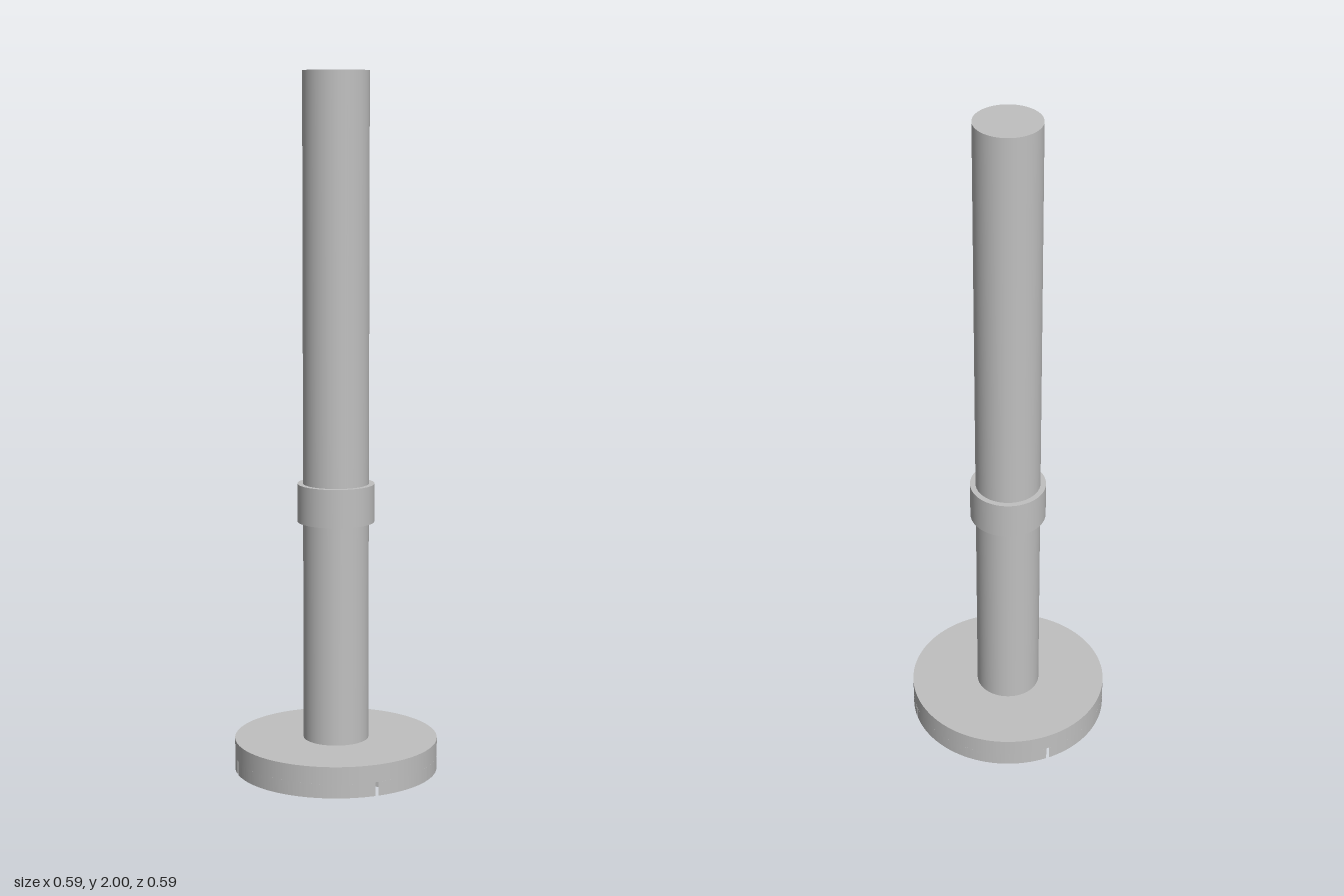
import * as THREE from 'three';
import { toCreasedNormals } from 'three/addons/utils/BufferGeometryUtils.js';

const BASE_R = 0.293, BASE_H = 0.09;
const SLOT_DEPTH = 0.04, SLOT_HALF_L = 0.2225, SLOT_HALF_W = 0.0375, SLOT_Z = 0.16;

export function createModel() {
  const group = new THREE.Group();
  const grey = new THREE.MeshStandardMaterial({ color: 0xc0c0c0 });
  grey.name = 'light grey';

  const add = (name, geometry) => {
    const mesh = new THREE.Mesh(geometry, grey);
    mesh.name = name;
    group.add(mesh);
  };
  const cylinder = (name, radius, y0, y1) =>
    add(name, new THREE.CylinderGeometry(radius, radius, y1 - y0, 96).translate(0, (y0 + y1) / 2, 0));
  // Plate lying on the ground, as thick as the slots are deep
  const plate = (name, shape) => {
    const geometry = new THREE.ExtrudeGeometry(shape, { depth: SLOT_DEPTH, bevelEnabled: false, curveSegments: 48 });
    geometry.rotateX(-Math.PI / 2);
    add(name, toCreasedNormals(geometry, 0.5));
  };

  // Post, collar and upper part of the round foot
  cylinder('post', 0.094, BASE_H, 2);
  cylinder('collar', 0.11, 0.727, 0.837);
  cylinder('footTop', BASE_R, SLOT_DEPTH, BASE_H);

  // Lower foot: the outer slots just break through the rim at their corners
  const inner = SLOT_Z - SLOT_HALF_W, outer = SLOT_Z + SLOT_HALF_W;
  const a = Math.acos(SLOT_HALF_L / BASE_R);
  const body = new THREE.Shape();
  body.absarc(0, 0, BASE_R, -a, a, false);
  body.lineTo(SLOT_HALF_L, inner);
  body.lineTo(-SLOT_HALF_L, inner);
  body.absarc(0, 0, BASE_R, Math.PI - a, Math.PI + a, false);
  body.lineTo(-SLOT_HALF_L, -inner);
  body.lineTo(SLOT_HALF_L, -inner);
  body.closePath();

  // Closed middle slot
  const slot = new THREE.Path();
  slot.moveTo(-SLOT_HALF_L, -SLOT_HALF_W);
  slot.lineTo(-SLOT_HALF_L, SLOT_HALF_W);
  slot.lineTo(SLOT_HALF_L, SLOT_HALF_W);
  slot.lineTo(SLOT_HALF_L, -SLOT_HALF_W);
  slot.closePath();
  body.holes.push(slot);
  plate('footBottom', body);

  // Rim segments outside the front and back slots
  const b = Math.asin(outer / BASE_R);
  for (const [name, turn] of [['footBackRim', 0], ['footFrontRim', Math.PI]]) {
    const rim = new THREE.Shape();
    rim.absarc(0, 0, BASE_R, turn + b, turn + Math.PI - b, false);
    rim.closePath();
    plate(name, rim);
  }
  return group;
}
